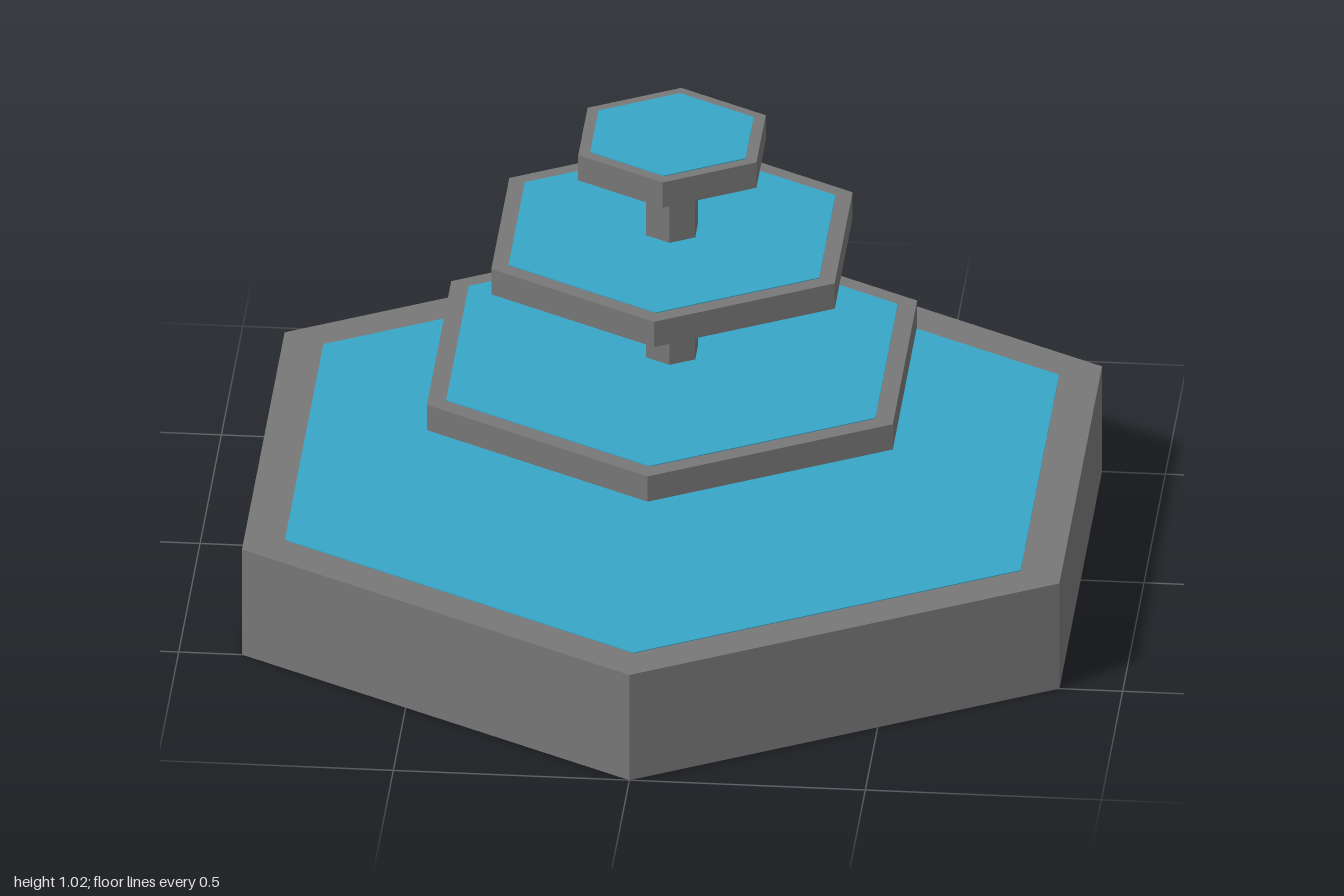
import * as THREE from 'three';

const SIDES = 6;

export function createModel() {
  const stone = new THREE.MeshStandardMaterial({ color: 0x777777, flatShading: true });
  stone.name = 'grey stone';
  const water = new THREE.MeshStandardMaterial({ color: 0x38a6c8, flatShading: true });
  water.name = 'blue water';

  const fountain = new THREE.Group();
  fountain.name = 'fountain';

  // Hexagonal prism or frustum between two heights, corners on the z axis
  function hexagon(parent, name, material, bottomRadius, topRadius, y0, y1) {
    const geometry = new THREE.CylinderGeometry(topRadius, bottomRadius, y1 - y0, SIDES);
    const mesh = new THREE.Mesh(geometry, material);
    mesh.name = name;
    mesh.position.y = (y0 + y1) / 2;
    parent.add(mesh);
  }

  // Thin sheet of water lying level with a rim
  function waterSheet(parent, name, radius, y) {
    hexagon(parent, name, water, radius, radius, y - 0.002, y + 0.002);
  }

  // Ground basin
  hexagon(fountain, 'basin', stone, 1, 1, 0, 0.25);
  waterSheet(fountain, 'basinWater', 0.9, 0.25);

  // Central column
  hexagon(fountain, 'column', stone, 0.06, 0.06, 0.25, 0.9);

  // Three bowls: flared underside, overhanging rim, water
  const bowls = [
    { name: 'lowerBowl', radius: 0.57, inner: 0.525, foot: 0.335, rim: 0.44, top: 0.5 },
    { name: 'middleBowl', radius: 0.42, inner: 0.38, foot: 0.63, rim: 0.73, top: 0.79 },
    { name: 'upperBowl', radius: 0.218, inner: 0.19, foot: 0.89, rim: 0.957, top: 1.017 },
  ];
  for (const { name, radius, inner, foot, rim, top } of bowls) {
    const bowl = new THREE.Group();
    bowl.name = name;
    hexagon(bowl, name + 'Underside', stone, 0.06, inner, foot, rim);
    hexagon(bowl, name + 'Rim', stone, radius, radius, rim, top);
    waterSheet(bowl, name + 'Water', inner, top);
    fountain.add(bowl);
  }

  return fountain;
}
